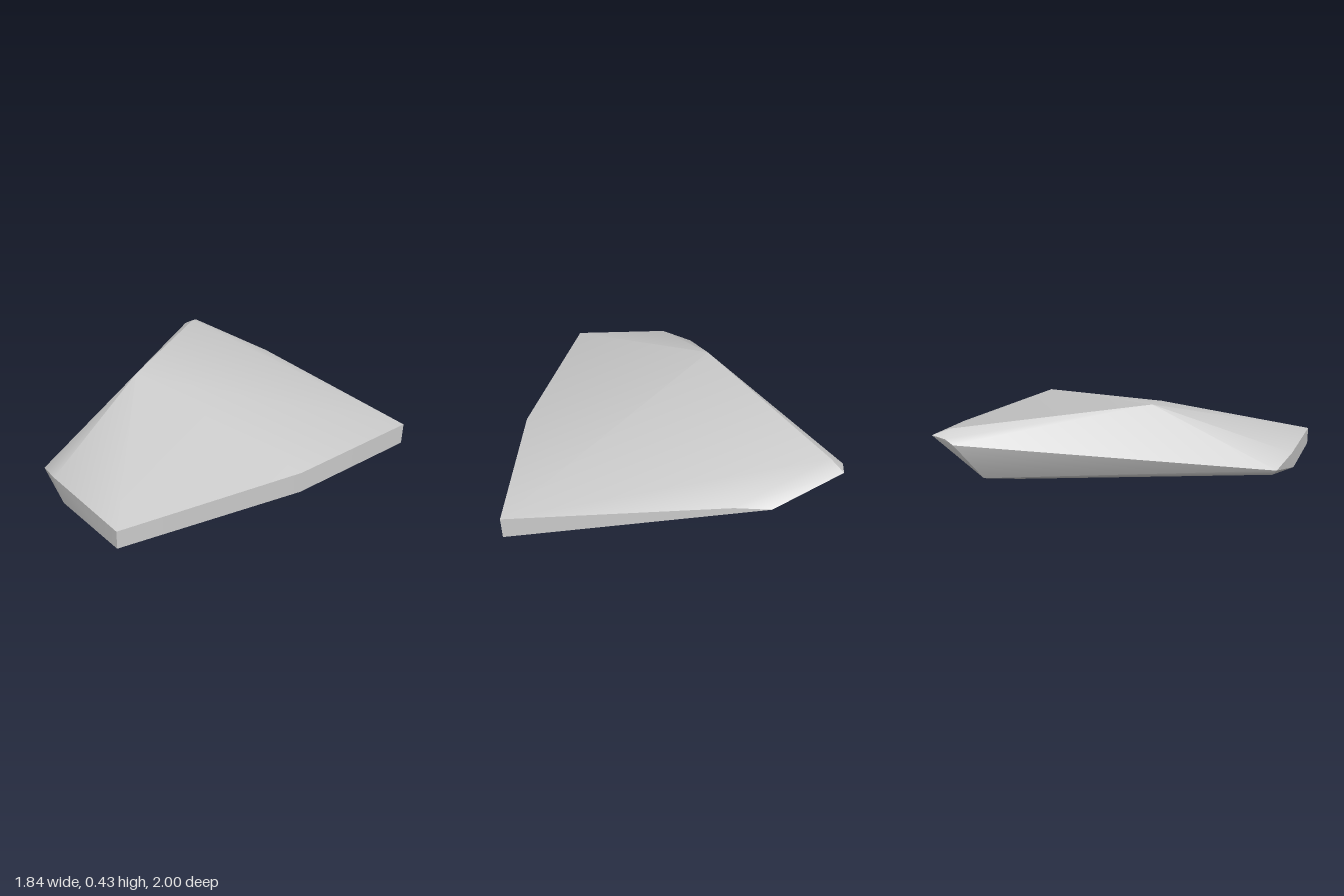
import * as THREE from 'three';
import { ConvexGeometry } from 'three/addons/geometries/ConvexGeometry.js';
import { toCreasedNormals } from 'three/addons/utils/BufferGeometryUtils.js';

// Corner points of the stone, grouped by the area they shape
const corners = {
  peak: [[-0.21, 0.43, 0.22]],
  highCorner: [[-0.85, 0.36, -0.75], [-0.91, 0.33, -0.83], [-0.92, 0.32, -0.74], [-0.92, 0.29, -0.69]],
  upperRim: [
    [0.915, 0.14, -1], [0.915, 0.135, -0.1], [0.7, 0.11, 1],
    [0.09, 0.13, 1], [-0.11, 0.08, 0.95], [-0.52, 0.22, -1], [-0.32, 0.23, -1],
  ],
  lowerRim: [
    [0.915, 0.01, -1], [0.915, 0.01, -0.1], [0.7, 0.005, 1], [0.18, 0.01, 1],
    [-0.08, 0.04, 0.92], [-0.8, 0.07, -0.58], [-0.27, 0.07, -0.85],
  ],
  base: [[-0.62, 0.02, -0.45], [-0.08, 0.015, -0.76], [0.05, 0, 0.7], [0.7, 0, -0.15]],
};

export function createModel() {
  const group = new THREE.Group();
  group.name = 'rock';

  const points = Object.values(corners).flat().map((p) => new THREE.Vector3(...p));
  // Soft shading over the shallow folds, sharp on the main ridges
  const geometry = toCreasedNormals(new ConvexGeometry(points), 0.5);
  const stone = new THREE.Mesh(geometry, new THREE.MeshStandardMaterial({ color: 0xcccccc }));
  stone.name = 'stone';
  group.add(stone);

  return group;
}
